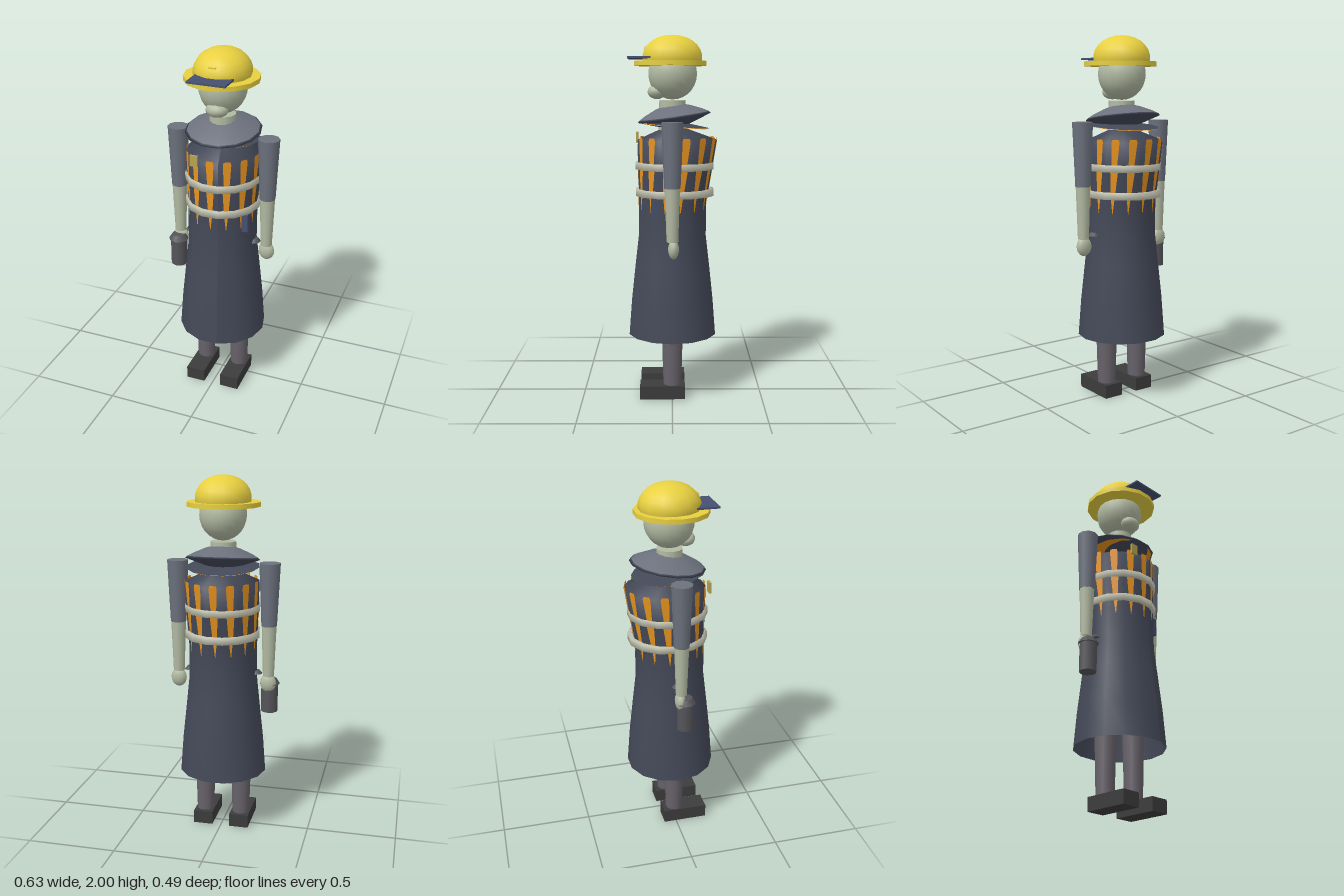
import * as THREE from 'three';

const SIDES = 14;
const STEP = (Math.PI * 2) / SIDES;
const mat = (color) => new THREE.MeshStandardMaterial({ color, side: THREE.DoubleSide });
const navy = mat(0x444958), sleeveGrey = mat(0x6c717d), skin = mat(0xb2baa2), yellow = mat(0xe8d040);
const orange = mat(0xe8941f), band = mat(0xc0c0ae), trouser = mat(0x67626a), shoeBlack = mat(0x3c3c3c);
const blue = mat(0x465070), tan = mat(0xb8a450), iron = mat(0x55555a);

// Coat cross-sections: [height, half width, half depth, z centre]
const COAT = [
  [0.345, 0.247, 0.247, 0], [0.55, 0.231, 0.231, 0], [0.75, 0.209, 0.209, 0], [0.91, 0.192, 0.19, 0],
  [1.1, 0.192, 0.19, -0.002], [1.28, 0.2, 0.207, -0.016], [1.435, 0.206, 0.221, -0.027], [1.5, 0.06, 0.06, -0.01],
];

// Coat section at any height
function section(y) {
  let i = 0;
  while (i < COAT.length - 2 && y > COAT[i + 1][0]) i++;
  const t = (y - COAT[i][0]) / (COAT[i + 1][0] - COAT[i][0]);
  return [1, 2, 3].map((k) => THREE.MathUtils.lerp(COAT[i][k], COAT[i + 1][k], t));
}

function add(parent, name, geo, material, x = 0, y = 0, z = 0) {
  const m = new THREE.Mesh(geo, material);
  m.name = name;
  m.position.set(x, y, z);
  parent.add(m);
  return m;
}

const lathe = (pts) => new THREE.LatheGeometry(pts.map(([r, y]) => new THREE.Vector2(r, y)), SIDES, STEP / 2);

// Tapered tube between two heights
const limb = (rTop, rBottom, yTop, yBottom, sides = 10) =>
  new THREE.CylinderGeometry(rTop, rBottom, yTop - yBottom, sides).translate(0, (yTop + yBottom) / 2, 0);

const ellipsoid = (rx, ry, rz, w = 14, h = 10) => new THREE.SphereGeometry(1, w, h).scale(rx, ry, rz);

// Pointed stripe lying on one facet of the coat
function stripe(angle) {
  const rows = [[1.45, 0.017], [1.435, 0.022], [1.31, 0.015], [1.275, 0.021], [1.165, 0.013], [1.13, 0.01], [1.05, 0.001]];
  const pos = [], idx = [];
  rows.forEach(([y, half], i) => {
    const [rx, rz, zc] = section(Math.min(y, 1.435));
    const c = Math.cos(STEP / 2);
    for (const s of [-1, 1]) {
      pos.push(
        Math.sin(angle) * (rx * c + 0.003) + s * half * Math.cos(angle), y,
        zc + Math.cos(angle) * (rz * c + 0.003) - s * half * Math.sin(angle));
    }
    if (i) { const a = 2 * i - 2; idx.push(a, a + 2, a + 1, a + 1, a + 2, a + 3); }
  });
  const g = new THREE.BufferGeometry();
  g.setAttribute('position', new THREE.Float32BufferAttribute(pos, 3));
  g.setIndex(idx);
  g.computeVertexNormals();
  return g;
}

export function createModel() {
  const model = new THREE.Group();
  model.name = 'standingFigure';

  // Coat: a lathe whose rings are stretched and shifted to the sections
  const coatGeo = lathe(COAT.map(([y]) => [1, y]));
  const p = coatGeo.attributes.position;
  for (let i = 0; i < p.count; i++) {
    const [rx, rz, zc] = section(p.getY(i));
    p.setXYZ(i, p.getX(i) * rx, p.getY(i), p.getZ(i) * rz + zc);
  }
  coatGeo.computeVertexNormals();
  add(model, 'coat', coatGeo, navy);

  // Vest stripes and reflective bands
  for (let i = 0; i < SIDES; i++) add(model, 'vestStripe', stripe(i * STEP), orange);
  for (const y of [1.295, 1.148]) {
    const ring = lathe([[0.9, -0.019], [1, -0.019], [1, 0.019], [0.9, 0.019]]).scale(0.207, 1, 0.219);
    add(model, 'reflectiveBand', ring, band, 0, y, -0.013);
  }

  // Collar: upper cape tilted up at the back, lower flap tilted down
  const collar = add(model, 'collar', lathe([[0.06, 0.045], [0.1, 0.033], [0.165, 0.005], [0.195, -0.012]]),
    sleeveGrey, 0, 1.578, -0.008);
  collar.rotation.x = 0.14;
  const rim = add(model, 'collarRim', lathe([[0.195, -0.012], [0.206, -0.022], [0.05, -0.075]]), navy, 0, 1.578, -0.008);
  rim.rotation.x = 0.14;
  const flap = add(model, 'collarFlap', lathe([[0.05, 0.012], [0.2, -0.008]]), navy, 0, 1.523, -0.008);
  flap.rotation.x = -0.09;
  const lining = add(model, 'collarLining', lathe([[0.05, 0.006], [0.192, -0.012]]), orange, 0, 1.523, -0.008);
  lining.rotation.x = -0.09;

  // Head
  add(model, 'neck', limb(0.071, 0.075, 1.65, 1.48, 12), skin);
  add(model, 'head', ellipsoid(0.128, 0.138, 0.134, 18, 14), skin, 0, 1.792, -0.002);
  add(model, 'muzzle', ellipsoid(0.061, 0.04, 0.052), skin, 0, 1.696, 0.084);

  // Hard hat
  const brim = limb(0.2, 0.2, 1.86, 1.835, SIDES).rotateY(STEP / 2);
  add(model, 'hatBrim', brim, yellow, 0, 0, 0.011);
  const dome = new THREE.SphereGeometry(1, SIDES, 8, 0, Math.PI * 2, 0, Math.PI * 0.62).scale(0.153, 0.12, 0.165);
  add(model, 'hatDome', dome, yellow, 0, 1.88, 0);
  add(model, 'hatVisor', new THREE.BoxGeometry(0.208, 0.01, 0.125), blue, 0, 1.877, 0.178);
  add(model, 'hatBadge', new THREE.BoxGeometry(0.04, 0.008, 0.012), yellow, 0, 1.932, 0.144);

  // Arms, legs and hip pockets, mirrored
  for (const s of [1, -1]) {
    const arm = new THREE.Group();
    arm.name = s > 0 ? 'leftArm' : 'rightArm';
    arm.position.x = s * 0.257;
    model.add(arm);
    add(arm, 'sleeve', limb(0.058, 0.043, 1.54, 1.195), sleeveGrey);
    add(arm, 'forearm', limb(0.041, 0.031, 1.195, 0.91), skin);
    add(arm, 'hand', ellipsoid(0.045, 0.053, 0.029, 12, 10), skin, 0, 0.87, -0.006);

    const leg = new THREE.Group();
    leg.name = s > 0 ? 'leftLeg' : 'rightLeg';
    leg.position.x = s * 0.105;
    model.add(leg);
    add(leg, 'trouserLeg', limb(0.07, 0.05, 0.8, 0.07, 12), trouser);
    add(leg, 'shoe', new THREE.BoxGeometry(0.11, 0.075, 0.25), shoeBlack, 0, 0.0375, 0.055);

    add(model, 'hipPocket', new THREE.CylinderGeometry(0.02, 0.035, 0.018, 10), iron, s * 0.188, 0.93, 0);
  }

  // Lantern in the right hand
  const lantern = new THREE.Group();
  lantern.name = 'lantern';
  lantern.position.set(-0.261, 0, 0.022);
  model.add(lantern);
  add(lantern, 'lanternBody', limb(0.047, 0.047, 0.865, 0.7), iron);
  add(lantern, 'lanternLid', limb(0.038, 0.057, 0.89, 0.86), iron);

  // Chest badge and belt radio
  add(model, 'chestBadge', new THREE.BoxGeometry(0.042, 0.06, 0.012), tan, -0.086, 1.443, 0.196);
  const radio = add(model, 'radio', new THREE.BoxGeometry(0.034, 0.1, 0.036), blue, 0.166, 1.08, 0.096);
  radio.rotation.y = 0.1;

  return model;
}
